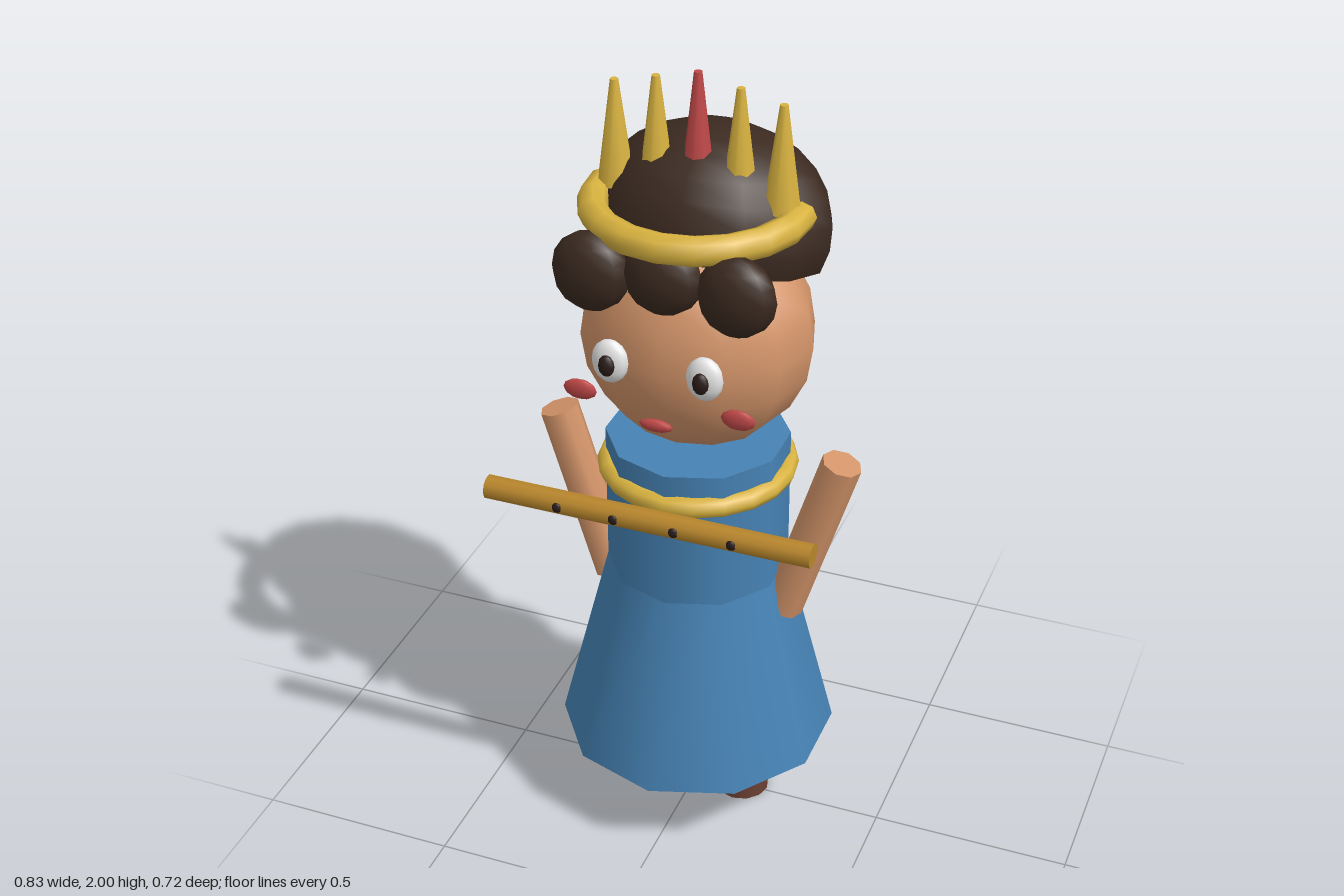
import * as THREE from 'three';

function paint(name, color) {
  const m = new THREE.MeshStandardMaterial({ color });
  m.name = name;
  return m;
}

export function createModel() {
  const model = new THREE.Group();
  model.name = 'crownedFlutePlayer';

  const skin = paint('skin', 0xd4956a);
  const blue = paint('dressBlue', 0x4682b4);
  const brown = paint('legBrown', 0x6b4032);
  const hairDark = paint('hairDark', 0x3b2a20);
  const gold = paint('gold', 0xd9b340);
  const wood = paint('fluteAmber', 0xb8862b);
  const red = paint('red', 0xc04848);
  const white = paint('eyeWhite', 0xf0f0f0);
  const black = paint('darkDetail', 0x2a1c18);

  const CZ = -0.01; // depth of the body axis

  function add(name, geometry, material, x, y, z) {
    const mesh = new THREE.Mesh(geometry, material);
    mesh.name = name;
    mesh.position.set(x, y, z);
    model.add(mesh);
    return mesh;
  }

  // Ellipsoid from its three radii
  function blob(name, material, [x, y, z], [rx, ry, rz], w = 12, h = 8) {
    const geo = new THREE.SphereGeometry(1, w, h);
    geo.scale(rx, ry, rz);
    return add(name, geo, material, x, y, z);
  }

  // Dress
  add('skirt', new THREE.CylinderGeometry(0.225, 0.35, 0.495, 10), blue, 0, 0.4575, CZ);
  add('torso', new THREE.CylinderGeometry(0.225, 0.225, 0.37, 10), blue, 0, 0.885, CZ);
  const collar = add('necklace', new THREE.TorusGeometry(0.22, 0.026, 8, 20), gold, 0, 0.99, CZ);
  collar.rotation.x = Math.PI / 2;

  // Limbs
  for (const s of [1, -1]) {
    const side = s > 0 ? 'left' : 'right';
    add(side + 'Leg', new THREE.CylinderGeometry(0.07, 0.07, 0.3, 12), brown, s * 0.125, 0.15, CZ);
    const arm = add(side + 'Arm', new THREE.CylinderGeometry(0.05, 0.05, 0.47, 8), skin, s * 0.297, 0.832, CZ);
    arm.rotation.z = -s * 0.3;
  }

  // Head and face
  blob('head', skin, [0, 1.355, CZ], [0.286, 0.29, 0.25], 12, 10);
  for (const s of [1, -1]) {
    const side = s > 0 ? 'left' : 'right';
    blob(side + 'Eye', white, [s * 0.115, 1.38, 0.25], [0.045, 0.055, 0.026]);
    blob(side + 'Pupil', black, [s * 0.114, 1.38, 0.274], [0.02, 0.027, 0.016], 10, 6);
    blob(side + 'Cheek', red, [s * 0.194, 1.286, 0.245], [0.042, 0.026, 0.012], 10, 6);
  }
  blob('mouth', red, [0, 1.238, 0.26], [0.042, 0.016, 0.012], 10, 6);

  // Hair: a cap tilted back, with three curls on the brow
  const capMaterial = hairDark;
  capMaterial.side = THREE.DoubleSide;
  const capGeo = new THREE.SphereGeometry(0.235, 12, 8, 0, Math.PI * 2, 0, Math.PI * 0.62);
  capGeo.scale(1.255, 1, 1);
  const cap = add('hairCap', capGeo, capMaterial, 0, 1.6, -0.098);
  cap.rotation.x = -0.23;
  for (const x of [-0.175, 0, 0.175]) {
    blob('browCurl', hairDark, [x, x ? 1.58 : 1.595, 0.21], [0.095, x ? 0.098 : 0.09, 0.057], 10, 8);
  }

  // Crown: front band and five tapered spikes
  const arc = Math.PI * 1.05;
  const bandGeo = new THREE.TorusGeometry(0.243, 0.036, 8, 10, arc);
  bandGeo.rotateZ(Math.PI / 2 - arc / 2);
  bandGeo.rotateX(Math.PI / 2);
  add('crownBand', bandGeo, gold, 0, 1.68, CZ);
  for (let i = -2; i <= 2; i++) {
    const height = 0.3 - Math.abs(i) * 0.024;
    const spike = new THREE.CylinderGeometry(0.01, 0.045, height, 8);
    add('crownSpike', spike, i ? gold : red, i * 0.101, 1.7 + height / 2, CZ);
  }

  // Flute with finger holes
  const flute = add('flute', new THREE.CylinderGeometry(0.03, 0.03, 0.812, 10), wood, 0, 1.015, 0.322);
  flute.rotation.z = Math.PI / 2;
  for (const x of [-0.217, -0.075, 0.075, 0.217]) {
    blob('fingerHole', black, [x, 1.015, 0.349], [0.013, 0.013, 0.007], 8, 6);
  }

  return model;
}
